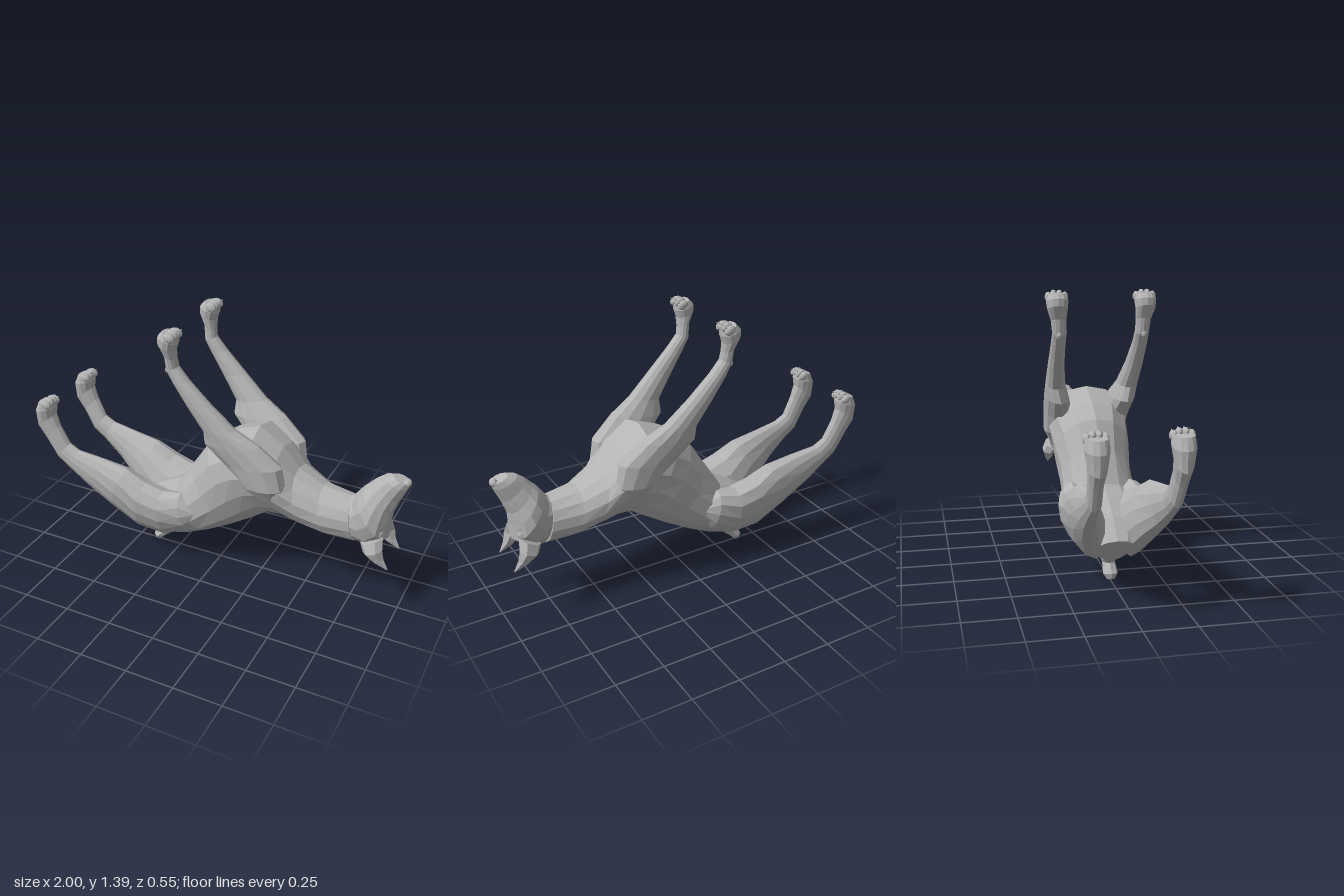
import * as THREE from 'three';

const coat = new THREE.MeshStandardMaterial({ color: 0xb4b4b4, flatShading: true });
coat.name = 'plain grey';

// Skin over cross-sections [ax, ay, bx, by, z, halfWidth, skew, lean]:
// a and b are the two ends of the section in the side plane,
// skew widens it towards a, lean shifts its a end outwards.
function loft(name, rows, side = 1, n = 12) {
  const pos = [], idx = [];
  for (const [ax, ay, bx, by, z, w, skew = 0, lean = 0] of rows) {
    for (let j = 0; j < n; j++) {
      const t = (j / n) * Math.PI * 2, c = Math.cos(t);
      pos.push(
        (ax + bx + c * (ax - bx)) / 2,
        (ay + by + c * (ay - by)) / 2,
        side * (z + lean * c) + Math.sin(t) * w * (1 + skew * c));
    }
  }
  const mid = ([ax, ay, bx, by]) => [(ax + bx) / 2, (ay + by) / 2];
  const first = rows[0], last = rows[rows.length - 1];
  pos.push(...mid(first), side * first[4], ...mid(last), side * last[4]);
  // Which way round the rings run decides the winding
  let turn = 0;
  for (let i = 0; i + 1 < rows.length; i++) {
    const r = rows[i], p = mid(r), q = mid(rows[i + 1]);
    turn += (r[1] - r[3]) * (q[0] - p[0]) - (r[0] - r[2]) * (q[1] - p[1]);
  }
  const tri = (a, b, c) => (turn > 0 ? idx.push(a, b, c) : idx.push(a, c, b));
  const end = (rows.length - 1) * n, cap = rows.length * n;
  for (let j = 0; j < n; j++) {
    const k = (j + 1) % n;
    for (let i = 0; i < end; i += n) {
      tri(i + j, i + k, i + n + j);
      tri(i + k, i + n + k, i + n + j);
    }
    tri(cap, k, j);
    tri(cap + 1, end + j, end + k);
  }
  const g = new THREE.BufferGeometry();
  g.setAttribute('position', new THREE.Float32BufferAttribute(pos, 3));
  g.setIndex(idx);
  g.computeVertexNormals();
  return part(name, g);
}

function part(name, geometry) {
  const m = new THREE.Mesh(geometry, coat);
  m.name = name;
  return m;
}

// Faceted lump
function lump(name, x, y, z, sx, sy, sz) {
  const m = part(name, new THREE.IcosahedronGeometry(1, 1));
  m.position.set(x, y, z);
  m.scale.set(sx, sy, sz);
  return m;
}

// Four toes with claws across a paw
function toes(name, x, y, z, tilt) {
  const g = new THREE.Group();
  g.name = name;
  [-0.04, -0.014, 0.014, 0.04].forEach((dz, i) => {
    const out = i === 1 || i === 2 ? 0.006 : -0.004;
    g.add(lump('toe', 0, out, dz, 0.03, 0.024, 0.017));
    const claw = part('claw', new THREE.ConeGeometry(0.007, 0.024, 5));
    claw.position.set(0.014, out + 0.022, dz);
    claw.rotation.z = -0.3;
    g.add(claw);
  });
  g.position.set(x, y, z);
  g.rotation.z = tilt;
  return g;
}

export function createModel() {
  const model = new THREE.Group();
  model.name = 'dog on its back';

  // Torso from rump to neck
  model.add(loft('torso', [
    [-0.53, 0.25, -0.42, 0.12, 0, 0.085, 0.4],
    [-0.43, 0.34, -0.30, 0.08, 0, 0.13, 0.4],
    [-0.33, 0.40, -0.17, 0.13, 0, 0.175, 0.2],
    [-0.23, 0.45, -0.02, 0.21, 0, 0.185],
    [-0.13, 0.60, 0.12, 0.285, 0, 0.182],
    [-0.04, 0.74, 0.22, 0.345, 0, 0.195, 0.1],
    [0.05, 0.805, 0.31, 0.405, 0, 0.2, 0.25],
    [0.22, 0.87, 0.38, 0.40, 0, 0.195, 0.35],
    [0.35, 0.785, 0.45, 0.39, 0, 0.185, 0.25],
    [0.435, 0.685, 0.52, 0.385, 0, 0.16, 0.1],
    [0.57, 0.62, 0.62, 0.365, 0, 0.13],
    [0.72, 0.60, 0.76, 0.36, 0, 0.1],
  ], 1, 14));

  // Head, back of the skull to the nose
  model.add(loft('head', [
    [0.69, 0.59, 0.73, 0.37, 0, 0.085],
    [0.725, 0.605, 0.85, 0.355, 0, 0.105],
    [0.75, 0.64, 0.92, 0.42, 0, 0.125],
    [0.775, 0.675, 0.922, 0.50, 0, 0.112],
    [0.80, 0.70, 0.93, 0.57, 0, 0.085],
    [0.83, 0.733, 0.955, 0.64, 0, 0.064],
    [0.865, 0.76, 0.988, 0.715, 0, 0.053],
    [0.91, 0.772, 0.995, 0.745, 0, 0.038],
  ]));
  model.add(lump('nose', 0.98, 0.745, 0, 0.02, 0.022, 0.026));

  // Stub tail
  model.add(loft('tail', [
    [-0.42, 0.14, -0.22, 0.14, 0, 0.06],
    [-0.375, 0.09, -0.29, 0.08, 0, 0.032],
    [-0.41, 0.045, -0.345, 0.035, 0, 0.037],
    [-0.405, 0.02, -0.375, 0.005, 0, 0.018],
  ], 1, 8));

  for (const s of [1, -1]) {
    const label = s > 0 ? 'left' : 'right';

    // Ear, brow and eye
    model.add(loft(label + ' ear', [
      [0.91, 0.46, 0.80, 0.40, 0.08, 0.045],
      [0.92, 0.40, 0.825, 0.365, 0.106, 0.037],
      [0.93, 0.35, 0.88, 0.325, 0.102, 0.024],
      [0.955, 0.296, 0.948, 0.293, 0.099, 0.003],
    ], s, 6));
    model.add(lump(label + ' brow', 0.885, 0.47, s * 0.055, 0.026, 0.035, 0.036));
    model.add(lump(label + ' eye', 0.89, 0.512, s * 0.062, 0.014, 0.013, 0.024));

    // Hind leg from flank to paw
    model.add(loft(label + ' hind leg', [
      [-0.075, 0.39, -0.055, 0.335, 0.145, 0.03],
      [-0.16, 0.45, -0.12, 0.23, 0.138, 0.075, 0, 0.01],
      [-0.26, 0.44, -0.27, 0.135, 0.125, 0.1, 0.15, 0.035],
      [-0.36, 0.47, -0.44, 0.14, 0.127, 0.098, 0.15, 0.04],
      [-0.47, 0.525, -0.58, 0.265, 0.152, 0.079, 0, 0.015],
      [-0.62, 0.55, -0.71, 0.37, 0.17, 0.053],
      [-0.76, 0.57, -0.82, 0.455, 0.18, 0.037],
      [-0.815, 0.60, -0.89, 0.505, 0.18, 0.034],
      [-0.865, 0.70, -0.95, 0.61, 0.185, 0.035],
      [-0.885, 0.765, -0.997, 0.68, 0.185, 0.043],
      [-0.88, 0.81, -1.0, 0.775, 0.185, 0.056],
      [-0.89, 0.85, -0.975, 0.83, 0.185, 0.05],
    ], s));
    model.add(toes(label + ' hind toes', -0.91, 0.834, s * 0.185, -0.35));

    // Front leg from shoulder to paw
    model.add(loft(label + ' front leg', [
      [0.27, 0.55, 0.38, 0.56, 0.12, 0.06],
      [0.18, 0.62, 0.425, 0.63, 0.145, 0.073],
      [0.09, 0.72, 0.405, 0.75, 0.152, 0.074],
      [-0.005, 0.815, 0.29, 0.85, 0.172, 0.063],
      [0.0, 0.89, 0.17, 0.92, 0.188, 0.052],
      [-0.08, 1.01, 0.05, 1.03, 0.2, 0.042],
      [-0.15, 1.12, -0.065, 1.14, 0.205, 0.037],
      [-0.183, 1.18, -0.122, 1.205, 0.205, 0.036],
      [-0.19, 1.26, -0.128, 1.245, 0.21, 0.038],
      [-0.218, 1.325, -0.128, 1.29, 0.217, 0.05],
      [-0.215, 1.36, -0.115, 1.33, 0.217, 0.055],
      [-0.19, 1.385, -0.115, 1.365, 0.217, 0.047],
    ], s));
    model.add(toes(label + ' front toes', -0.14, 1.368, s * 0.217, -0.4));
    model.add(lump(label + ' wrist pad', -0.178, 1.18, s * 0.21, 0.012, 0.018, 0.014));
  }
  return model;
}
